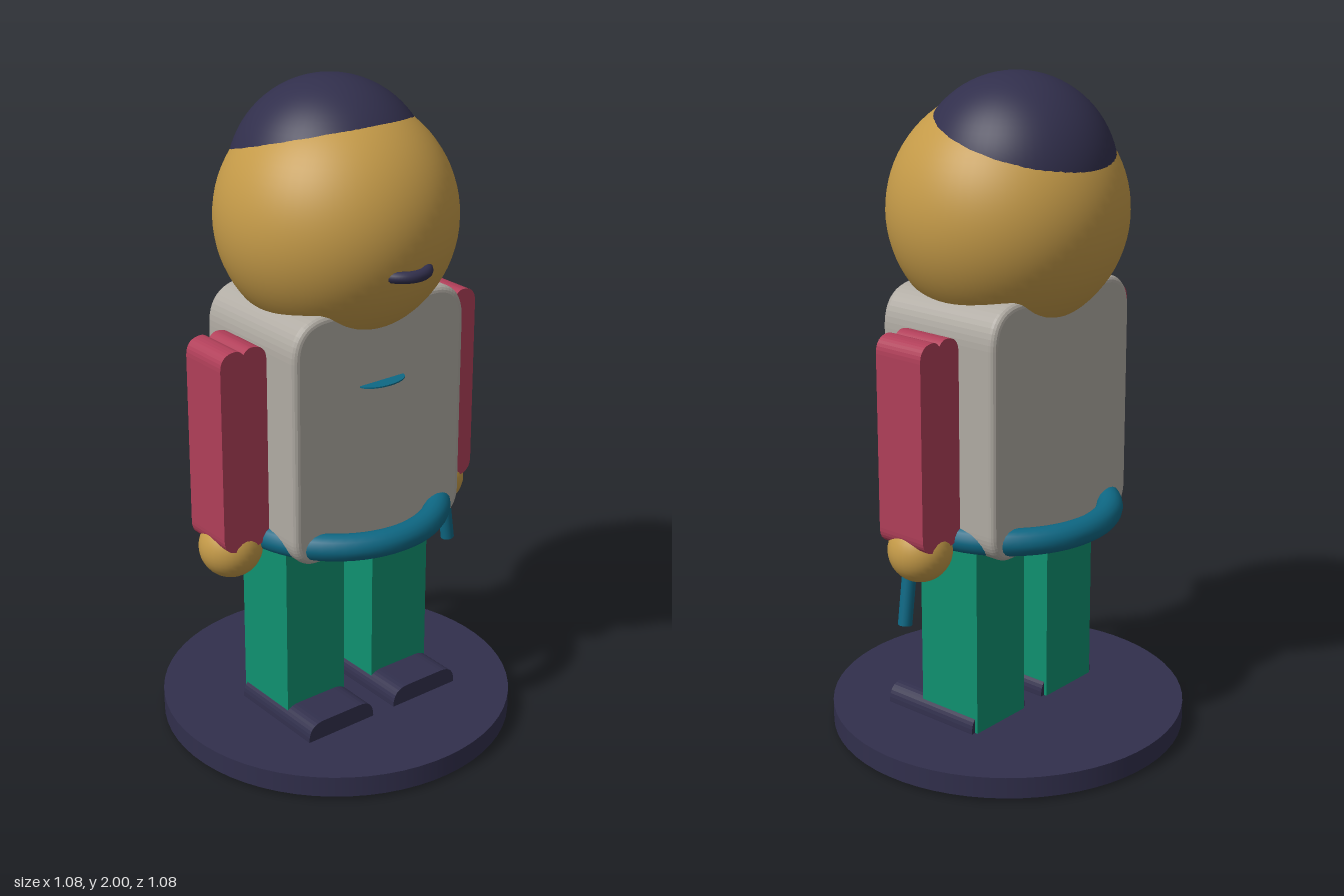
import * as THREE from 'three';

const mat = (name, color) => {
  const m = new THREE.MeshStandardMaterial({ color });
  m.name = name;
  return m;
};

// Rounded rectangle with separate top and bottom corner radii
function roundedRect(x0, x1, y0, y1, rTop, rBottom) {
  const s = new THREE.Shape();
  s.moveTo(x0 + rBottom, y0);
  s.lineTo(x1 - rBottom, y0);
  s.quadraticCurveTo(x1, y0, x1, y0 + rBottom);
  s.lineTo(x1, y1 - rTop);
  s.quadraticCurveTo(x1, y1, x1 - rTop, y1);
  s.lineTo(x0 + rTop, y1);
  s.quadraticCurveTo(x0, y1, x0, y1 - rTop);
  s.lineTo(x0, y0 + rBottom);
  s.quadraticCurveTo(x0, y0, x0 + rBottom, y0);
  return s;
}

// Sleeve outline: rounded corners with a small notch at each end
function sleeveShape(w, y0, y1) {
  const s = new THREE.Shape();
  const r = 0.05, flat = w - 0.05, notch = 0.016;
  s.moveTo(-w, y0 + r);
  s.quadraticCurveTo(-w, y0, -flat, y0);
  s.quadraticCurveTo(-0.012, y0, 0, y0 + notch);
  s.quadraticCurveTo(0.012, y0, flat, y0);
  s.quadraticCurveTo(w, y0, w, y0 + r);
  s.lineTo(w, y1 - r);
  s.quadraticCurveTo(w, y1, flat, y1);
  s.quadraticCurveTo(0.012, y1, 0, y1 - notch);
  s.quadraticCurveTo(-0.012, y1, -flat, y1);
  s.quadraticCurveTo(-w, y1, -w, y1 - r);
  return s;
}

export function createModel() {
  const model = new THREE.Group();
  model.name = 'figurine';

  const skin = mat('ochre skin', 0xc49a48);
  const navy = mat('dark navy', 0x312f4c);
  const cloth = mat('warm grey', 0xb0aba3);
  const red = mat('crimson', 0xb03f59);
  const green = mat('green', 0x0f9170);
  const teal = mat('teal', 0x0e6884);

  const add = (name, geometry, material, x = 0, y = 0, z = 0) => {
    const mesh = new THREE.Mesh(geometry, material);
    mesh.name = name;
    mesh.position.set(x, y, z);
    model.add(mesh);
    return mesh;
  };

  // Base disc
  add('base', new THREE.CylinderGeometry(0.54, 0.54, 0.065, 64), navy, 0, 0.048, 0);

  // Head with a hair cap tilted to the back
  add('head', new THREE.SphereGeometry(0.35, 64, 40), skin, 0, 1.607, 0);
  add('hair', new THREE.SphereGeometry(0.29, 64, 40), navy, 0, 1.711, -0.03);

  // Mouth: a half ring lying flat
  const mouth = add('mouth', new THREE.TorusGeometry(0.07, 0.017, 12, 32, Math.PI), navy, 0, 1.52, 0.291);
  mouth.rotation.x = Math.PI / 2;

  // Torso: rounded block with a small bevel front and back
  const bevel = 0.02;
  const torso = new THREE.ExtrudeGeometry(
    roundedRect(-0.31 + bevel, 0.31 - bevel, 0.65 + bevel, 1.405 - bevel, 0.1, 0.07),
    { depth: 0.42 - 2 * bevel, bevelSize: bevel, bevelThickness: bevel, bevelSegments: 4, curveSegments: 12 }
  );
  add('torso', torso, cloth, 0, 0, -0.21 + bevel);

  // Thin chest trim standing out from the torso
  const trimMat = teal.clone();
  const trim = add('chestTrim', new THREE.CylinderGeometry(0.08, 0.08, 0.004, 32), trimMat, 0, 1.166, 0.208);
  trim.scale.z = 0.55;
  trim.material = teal;

  // Belt ring
  const belt = add('belt', new THREE.TorusGeometry(0.305, 0.04, 16, 64), teal, 0, 0.705, 0);
  belt.rotation.x = Math.PI / 2;

  // Limbs, mirrored left and right
  const sleeve = new THREE.ExtrudeGeometry(sleeveShape(0.078, 0.7, 1.314), { depth: 0.166, bevelEnabled: false, curveSegments: 8 });
  const shoe = new THREE.ExtrudeGeometry(roundedRect(-0.122, 0.122, 0.03, 0.138, 0.055, 0.01), { depth: 0.335, bevelEnabled: false, curveSegments: 8 });
  const leg = new THREE.BoxGeometry(0.215, 0.695, 0.218);
  const hand = new THREE.SphereGeometry(0.094, 32, 20);
  for (const [side, s] of [['left', 1], ['right', -1]]) {
    add(side + 'Arm', sleeve, red, s * 0.388, 0, -0.083);
    add(side + 'Hand', hand, skin, s * 0.388, 0.68, 0);
    add(side + 'Leg', leg, green, s * 0.162, 0.3525, 0);
    add(side + 'Shoe', shoe, navy, s * 0.162, 0, -0.1);
  }

  // Stick held in the left hand
  const stick = add('stick', new THREE.CylinderGeometry(0.021, 0.021, 0.24, 20), teal, 0.419, 0.575, 0.02);
  stick.rotation.z = 0.14;

  return model;
}
